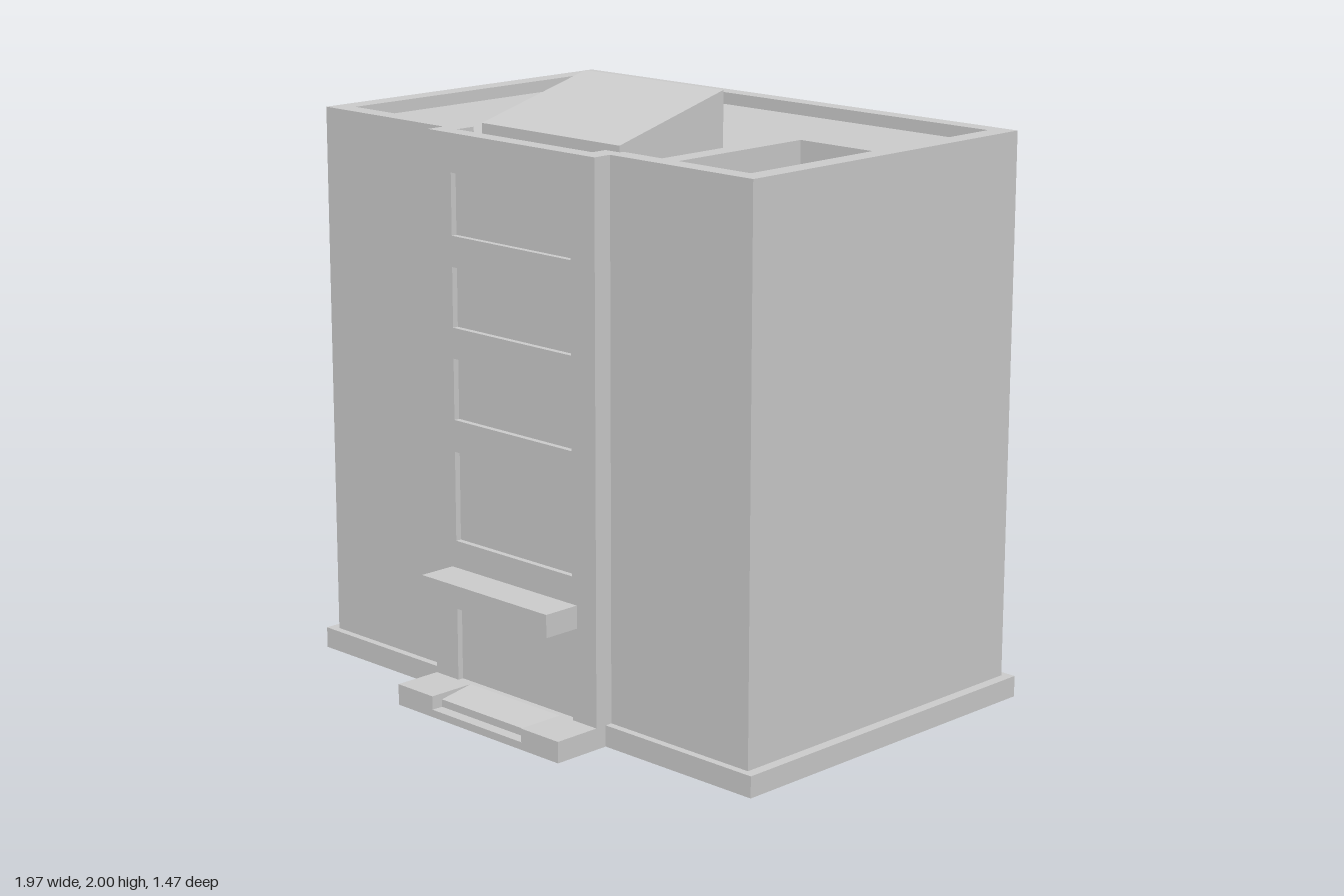
import * as THREE from 'three';

const material = new THREE.MeshStandardMaterial({ color: 0xcccccc, side: THREE.DoubleSide, flatShading: true });

function add(parent, name, geometry) {
  const mesh = new THREE.Mesh(geometry, material);
  mesh.name = name;
  parent.add(mesh);
  return mesh;
}

// Quads between two matching rows of [x, y, z] points
function loft(a, b, closed = false) {
  const pos = [];
  const n = a.length;
  for (let i = 0; i < (closed ? n : n - 1); i++) {
    const j = (i + 1) % n;
    pos.push(...a[i], ...a[j], ...b[j], ...a[i], ...b[j], ...b[i]);
  }
  const g = new THREE.BufferGeometry();
  g.setAttribute('position', new THREE.Float32BufferAttribute(pos, 3));
  g.computeVertexNormals();
  return g;
}

const toShape = (pts) => new THREE.Shape(pts.map(([x, y]) => new THREE.Vector2(x, y)));
const rect = (x0, x1, y0, y1) => [[x0, y0], [x1, y0], [x1, y1], [x0, y1]];

// Upright face in the xy plane at depth z
function face(pts, z, holes = []) {
  const s = toShape(pts);
  s.holes = holes.map(toShape);
  return new THREE.ShapeGeometry(s).translate(0, 0, z);
}

// Horizontal face from [x, z] points at height y
function slab(pts, y, holes = []) {
  const flip = (list) => list.map(([x, z]) => [x, -z]);
  return face(flip(pts), 0, holes.map(flip)).rotateX(-Math.PI / 2).translate(0, y, 0);
}

// Vertical wall along [x, z] points
const wall = (pts, y0, y1, closed) =>
  loft(pts.map(([x, z]) => [x, y0, z]), pts.map(([x, z]) => [x, y1, z]), closed);

// Main block outline with a projecting front bay
const plan = (xl, xr, back, front, bl, br, bayFront) => [
  [br, bayFront], [br, front], [xr, front], [xr, back],
  [xl, back], [xl, front], [bl, front], [bl, bayFront],
];

export function createModel() {
  const model = new THREE.Group();
  model.name = 'building';

  const BASE = 0.07, TOP = 1.86, DECK = 1.82, PIT = 1.74;
  const L = -0.375, R = 0.37, BAY = 0.565;
  const outer = plan(-0.95, 0.95, -0.71, 0.5, L, R, BAY);
  const inner = plan(-0.88, 0.88, -0.65, 0.435, -0.305, 0.3, 0.505);

  // Outer walls, open below
  add(model, 'outerWalls', wall(outer, BASE, TOP));

  // Bay front with window, canopy and door openings
  const windows = [[0.54, 0.835], [0.94, 1.14], [1.24, 1.435], [1.535, 1.735]]
    .map(([y0, y1]) => rect(-0.27, 0.265, y0, y1));
  const canopyRect = rect(-0.29, 0.285, 0.375, 0.45);
  const doorRect = rect(-0.27, 0.265, BASE, 0.355);
  const bay = [[L, BASE], [-0.27, BASE], [-0.27, 0.355], [0.265, 0.355], [0.265, BASE], [R, BASE], [R, TOP], [L, TOP]];
  add(model, 'bayFront', face(bay, BAY, [...windows, canopyRect]));

  // A panel set in or pushed out from the bay front
  const inset = (name, r, z) => {
    const group = new THREE.Group();
    group.name = name;
    const at = (d) => r.map(([x, y]) => [x, y, d]);
    add(group, name + 'Sides', loft(at(BAY), at(z), true));
    add(group, name + 'Panel', face(r, z));
    model.add(group);
  };
  windows.forEach((r, i) => inset('window' + (i + 1), r, 0.545));
  inset('door', doorRect, 0.545);
  inset('canopy', canopyRect, 0.695);

  // Roof: parapet, deck and sunken well
  const pit = rect(0.43, 0.83, -0.28, 0.32);
  add(model, 'parapetTop', slab(outer, TOP, [inner]));
  add(model, 'parapetInside', wall([...inner].reverse(), DECK, TOP, true));
  add(model, 'roofDeck', slab(inner, DECK, [pit]));
  add(model, 'roofWellSides', wall(pit, PIT, DECK, true));
  add(model, 'roofWellFloor', slab(pit, PIT));

  // Sloped roof housing: side profile extruded across x
  const profile = toShape([[0, DECK], [0, 2], [-0.45, 1.88], [-0.45, DECK]]);
  const housing = new THREE.ExtrudeGeometry(profile, { depth: 0.61, bevelEnabled: false });
  add(model, 'roofHousing', housing.rotateY(Math.PI / 2).translate(-0.25, 0, 0));

  // Plinth: skirt and ledge around the block
  const skirt = plan(-0.985, 0.985, -0.735, 0.525, L, R, 0.73);
  add(model, 'plinthSkirt', wall(skirt, 0, BASE));
  add(model, 'plinthLedge', slab([...skirt.slice(1, 7), ...outer.slice(1, 7).reverse()], BASE));

  // Porch: two side landings, notched front, ramp and step between
  const S0 = -0.21, S1 = 0.205, F = 0.73;
  for (const [x0, x1, side] of [[L, S0, 'right'], [S1, R, 'left']]) {
    add(model, side + 'PorchLanding', slab(rect(x0, x1, BAY, F), BASE));
  }
  add(model, 'porchFront', face([[L, 0], [R, 0], [R, BASE], [S1, BASE], [S1, 0.025], [S0, 0.025], [S0, BASE], [L, BASE]], F));
  const steps = [[F, 0.025], [0.69, 0.025], [0.69, 0.05], [BAY, BASE]];
  const across = (x) => steps.map(([z, y]) => [x, y, z]);
  add(model, 'porchSteps', loft(across(S1), across(S0)));
  const cheek = [...steps, [F, BASE]].map(([z, y]) => [-z, y]);
  for (const [x, side] of [[S0, 'right'], [S1, 'left']]) {
    add(model, side + 'StepCheek', face(cheek, 0).rotateY(Math.PI / 2).translate(x, 0, 0));
  }

  return model;
}
